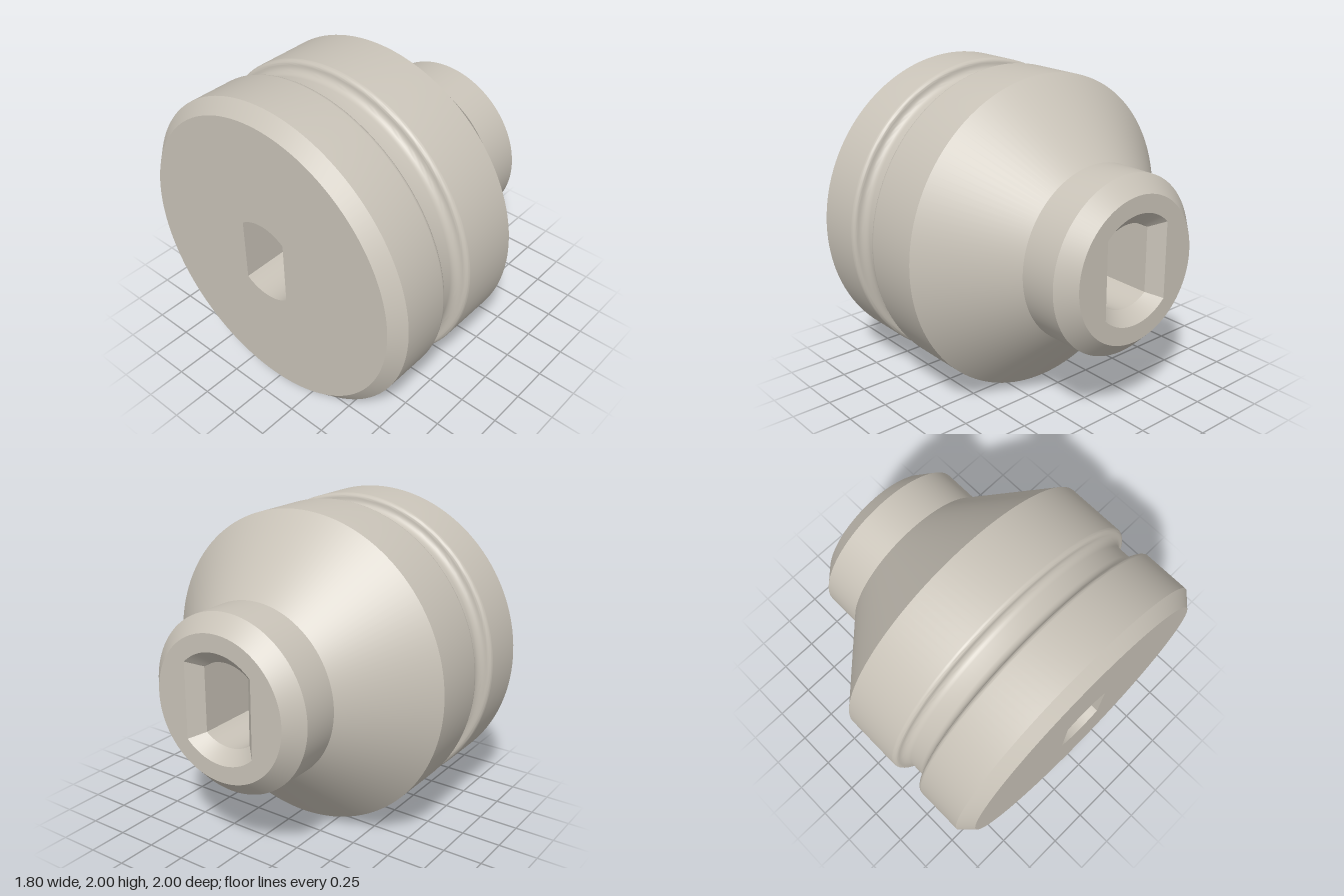
import * as THREE from 'three';
import { toCreasedNormals } from 'three/addons/utils/BufferGeometryUtils.js';

const SEGMENTS = 128, ARC_STEPS = 20, CREASE = 0.5;
const BACK = -0.9, FRONT = 0.9, CHAMFER = 0.08;

// Quarter-round fillet points as [position along axis, radius]
function fillet(cx, cr, radius, from, to, steps = 8) {
  return Array.from({ length: steps + 1 }, (_, i) => {
    const a = THREE.MathUtils.degToRad(from + (to - from) * i / steps);
    return [cx + radius * Math.cos(a), cr + radius * Math.sin(a)];
  });
}

// Circle cut by two parallel flats, counter-clockwise
function doubleD(radius, halfWidth) {
  const a = Math.acos(halfWidth / radius), points = [];
  for (const start of [a, Math.PI + a])
    for (let i = 0; i <= ARC_STEPS; i++) {
      const t = start + (Math.PI - 2 * a) * i / ARC_STEPS;
      points.push(new THREE.Vector2(radius * Math.cos(t), radius * Math.sin(t)));
    }
  return points;
}

// Inward-facing wall through outlines placed along the x axis
function boreGeometry(stations) {
  const positions = [];
  for (let s = 0; s < stations.length - 1; s++) {
    const [lo, hi] = [stations[s], stations[s + 1]];
    const count = lo.outline.length;
    const at = (st, i) => [st.x, st.outline[i % count].y, -st.outline[i % count].x];
    for (let i = 0; i < count; i++)
      positions.push(
        ...at(lo, i), ...at(hi, i), ...at(hi, i + 1),
        ...at(lo, i), ...at(hi, i + 1), ...at(lo, i + 1));
  }
  const geometry = new THREE.BufferGeometry();
  geometry.setAttribute('position', new THREE.Float32BufferAttribute(positions, 3));
  return toCreasedNormals(geometry, CREASE);
}

// Flat end disc with the bore cut out, facing +x or -x
function endFace(radius, outline, x, side) {
  const shape = new THREE.Shape().absarc(0, 0, radius, 0, Math.PI * 2);
  shape.holes.push(new THREE.Path().setFromPoints(outline));
  return new THREE.ShapeGeometry(shape, SEGMENTS / 2)
    .rotateY(side * Math.PI / 2).translate(x, 0, 0);
}

export function createModel() {
  const group = new THREE.Group();
  const metal = new THREE.MeshStandardMaterial({ color: 0xc9c3b8 });
  metal.name = 'warm grey metal';
  const add = (name, geometry) => {
    const mesh = new THREE.Mesh(geometry, metal);
    mesh.name = name;
    mesh.position.y = 1;
    group.add(mesh);
  };

  // Turned body: chamfered drum, rounded groove, cone and neck
  const profile = [
    [BACK, 0.92], [-0.82, 1],
    ...fillet(-0.525, 0.97, 0.03, 90, 0),
    ...fillet(-0.445, 0.97, 0.05, 180, 270).slice(1),
    ...fillet(-0.355, 0.97, 0.05, -90, 0),
    ...fillet(-0.275, 0.97, 0.03, 180, 90).slice(1),
    [0.1, 1], [0.55, 0.55], [0.8, 0.55], [FRONT, 0.45],
  ].map(([x, r]) => new THREE.Vector2(r, x));
  add('turnedBody', toCreasedNormals(
    new THREE.LatheGeometry(profile, SEGMENTS).rotateZ(-Math.PI / 2), CREASE));

  // Through bore with two flats, widened by a chamfer at the neck
  const inner = doubleD(0.26, 0.16), mouth = doubleD(0.34, 0.24);
  add('bore', boreGeometry([
    { x: BACK, outline: inner }, { x: FRONT - CHAMFER, outline: inner },
  ]));
  add('boreChamfer', boreGeometry([
    { x: FRONT - CHAMFER, outline: inner }, { x: FRONT, outline: mouth },
  ]));

  // End faces
  add('drumFace', endFace(0.92, inner, BACK, -1));
  add('neckFace', endFace(0.45, mouth, FRONT, 1));
  return group;
}
